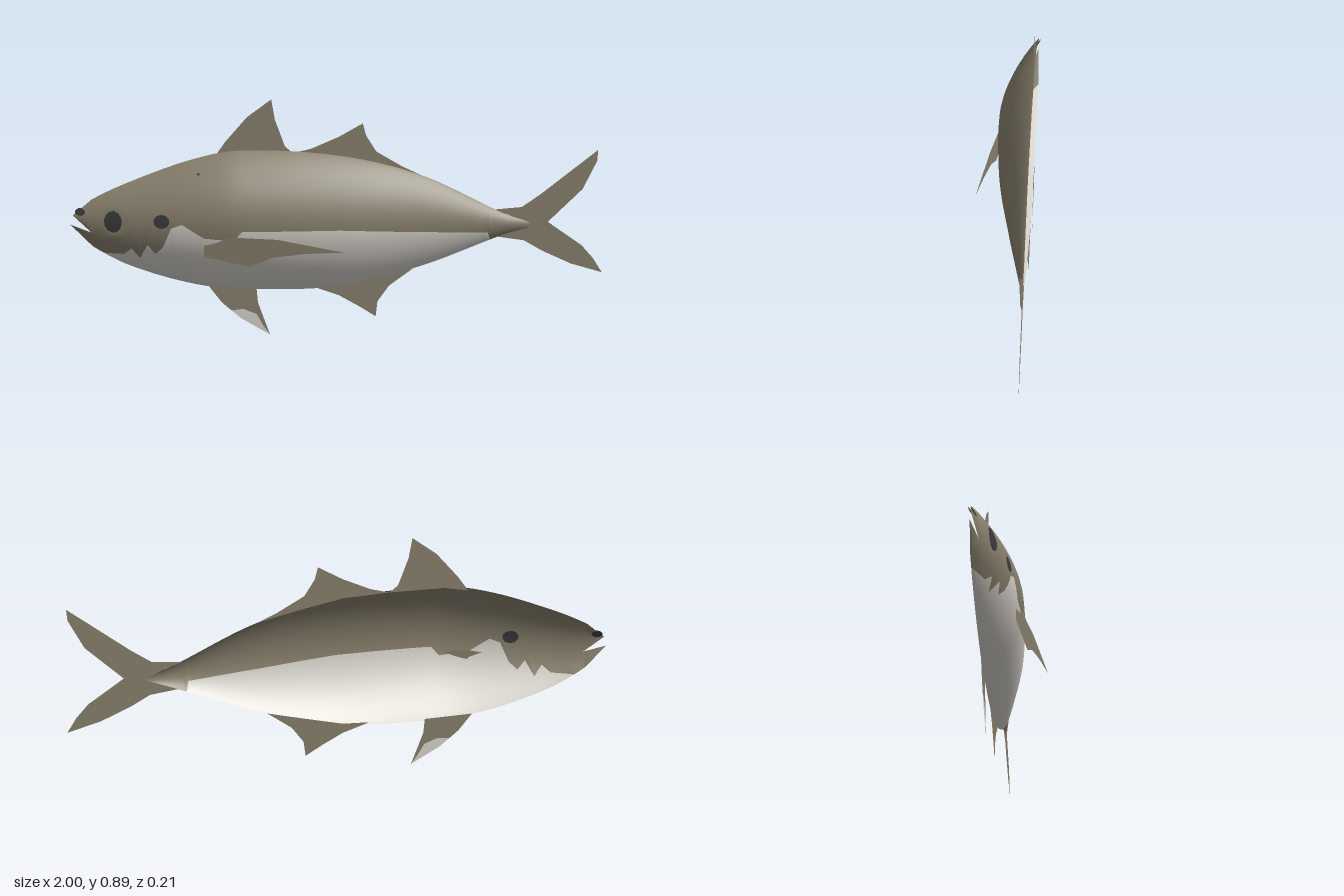
import * as THREE from 'three';

const BACK = -0.102; // open rear plane of the half body
const mat = (name, color) => {
  const m = new THREE.MeshStandardMaterial({ color, side: THREE.DoubleSide });
  m.name = name;
  return m;
};

// Stations along the body: x, top y, bottom y, foremost z
const STATIONS = [
  [-0.99, 0.475, 0.41, -0.094], [-0.92, 0.525, 0.35, -0.072], [-0.78, 0.59, 0.275, -0.03],
  [-0.55, 0.672, 0.205, 0.018], [-0.37, 0.705, 0.183, 0.035], [0, 0.685, 0.19, 0.014],
  [0.31, 0.61, 0.265, -0.032], [0.62, 0.465, 0.382, -0.085], [0.72, 0.43, 0.41, -0.101],
];
// Lower edge of the dark back colour: x, y
const EDGE = [
  [-0.92, 0.3], [-0.87, 0.325], [-0.8, 0.325], [-0.77, 0.35], [-0.74, 0.31], [-0.71, 0.365],
  [-0.68, 0.33], [-0.65, 0.36], [-0.62, 0.43], [-0.58, 0.445], [-0.54, 0.42], [-0.5, 0.395],
  [-0.39, 0.385], [-0.36, 0.42], [0, 0.42], [0.3, 0.405], [0.56, 0.395], [0.57, 0.3], [0.72, 0.3],
];

// Smooth (or straight) reading of one table column at x
function read(table, x, col, smooth) {
  const n = table.length;
  let i = 0;
  while (i < n - 2 && x > table[i + 1][0]) i++;
  const a = table[i], b = table[i + 1], h = b[0] - a[0];
  const t = THREE.MathUtils.clamp((x - a[0]) / h, 0, 1);
  if (!smooth) return a[col] + (b[col] - a[col]) * t;
  const slope = (k) => {
    const p = table[Math.max(k - 1, 0)], q = table[Math.min(k + 1, n - 1)];
    return (q[col] - p[col]) / (q[0] - p[0]);
  };
  const t2 = t * t, t3 = t2 * t;
  return (2 * t3 - 3 * t2 + 1) * a[col] + (t3 - 2 * t2 + t) * h * slope(i)
    + (3 * t2 - 2 * t3) * b[col] + (t3 - t2) * h * slope(i + 1);
}
const topAt = (x) => read(STATIONS, x, 1, true);
const bottomAt = (x) => read(STATIONS, x, 2, true);

// Depth of the flank at x, y
function flankZ(x, y) {
  const top = topAt(x);
  const u = THREE.MathUtils.clamp((top - y) / (top - bottomAt(x)), 0, 1);
  return BACK + (read(STATIONS, x, 3, true) - BACK) * Math.pow(4 * u * (1 - u), 0.9);
}

// Surface over a grid of points; rows from splitRow on use the second material
function grid(cols, rows, splitRow, point) {
  const pos = [], upper = [], lower = [];
  for (let i = 0; i <= cols; i++) for (let j = 0; j <= rows; j++) pos.push(...point(i / cols, j));
  for (let i = 0; i < cols; i++) {
    for (let j = 0; j < rows; j++) {
      const a = i * (rows + 1) + j, b = a + rows + 1;
      (j < splitRow ? upper : lower).push(a, a + 1, b, b, a + 1, b + 1);
    }
  }
  const g = new THREE.BufferGeometry();
  g.setAttribute('position', new THREE.Float32BufferAttribute(pos, 3));
  g.setIndex([...upper, ...lower]);
  g.addGroup(0, upper.length, 0);
  g.addGroup(upper.length, lower.length, 1);
  g.computeVertexNormals();
  return g;
}

// Thin round patch that hugs the flank
function patch(cx, cy, rx, ry, sides, lift) {
  const g = new THREE.CircleGeometry(1, sides, Math.PI / 8);
  const p = g.attributes.position;
  for (let i = 0; i < p.count; i++) {
    const x = cx + p.getX(i) * rx, y = cy + p.getY(i) * ry;
    p.setXYZ(i, x, y, flankZ(x, y) + lift);
  }
  g.computeVertexNormals();
  return g;
}

// Flat outline, by default in the rear plane
function fin(points, z = BACK) {
  const g = new THREE.ShapeGeometry(new THREE.Shape(points.map(([x, y]) => new THREE.Vector2(x, y))));
  return g.translate(0, 0, z);
}

export function createModel() {
  const model = new THREE.Group();
  const olive = mat('olive back', 0x877f6c);
  const silver = mat('silver belly', 0xd6d2cb);
  const dark = mat('dark spots', 0x3b3a3a);
  const add = (name, geometry, material) => {
    const m = new THREE.Mesh(geometry, material);
    m.name = name;
    model.add(m);
  };

  // Half body, split along the colour edge
  const N = 14;
  add('body', grid(164, 2 * N, N, (s, j) => {
    const x = -0.92 + 1.64 * s, top = topAt(x), bottom = bottomAt(x);
    const edge = THREE.MathUtils.clamp(read(EDGE, x, 1, false), bottom, top);
    // rows crowd towards the top and bottom rims
    const k = j <= N ? 1 - Math.cos((j / N) * Math.PI / 2) : Math.sin((j / N - 1) * Math.PI / 2);
    const y = j <= N ? top + (edge - top) * k : edge + (bottom - edge) * k;
    return [x, y, flankZ(x, y)];
  }), [olive, silver]);

  // Snout and lower jaw taper to tips, leaving the mouth open between them
  const taper = (y0, y1, tip) => grid(6, 12, 12, (s, j) => {
    const y = y0 + (y1 - y0) * (j / 12), from = [-0.92, y, flankZ(-0.92, y)];
    return tip.map((v, k) => v + (from[k] - v) * s);
  });
  add('snout', taper(topAt(-0.92), 0.405, [-0.99, 0.467, -0.096]), [olive, olive]);
  add('lowerJaw', taper(0.405, bottomAt(-0.92), [-1, 0.432, -0.098]), [olive, olive]);

  // Eye, cheek spot and nostril
  add('eye', patch(-0.83, 0.447, 0.053, 0.053, 8, 0.005), olive);
  add('pupil', patch(-0.836, 0.45, 0.034, 0.04, 12, 0.009), dark);
  for (const lift of [0.004, -0.004]) {
    add('cheekSpot', patch(-0.655, 0.455, 0.03, 0.026, 10, lift), dark);
    add('nostril', patch(-0.962, 0.48, 0.02, 0.014, 8, lift), dark);
  }
  add('backSpeck', patch(-0.52, 0.625, 0.006, 0.005, 6, 0.003), dark);

  // Upright fins
  add('frontDorsalFin', fin([[-0.46, 0.685], [-0.42, 0.74], [-0.34, 0.83], [-0.25, 0.895], [-0.237, 0.82],
    [-0.2, 0.72], [-0.17, 0.695], [-0.37, 0.7]]), olive);
  add('rearDorsalFin', fin([[-0.17, 0.695], [-0.1, 0.712], [0, 0.755], [0.09, 0.805], [0.102, 0.76],
    [0.14, 0.7], [0.24, 0.642], [0.31, 0.61], [0.15, 0.65], [0, 0.683]]), olive);
  add('analFin', fin([[-0.1, 0.19], [0, 0.155], [0.08, 0.11], [0.14, 0.072], [0.147, 0.13],
    [0.19, 0.19], [0.28, 0.255], [0.15, 0.225], [0, 0.192]]), olive);
  add('tailFin', fin([[0.58, 0.478], [0.69, 0.487], [0.76, 0.535], [0.975, 0.702], [0.972, 0.66], [0.92, 0.555],
    [0.79, 0.43], [0.92, 0.34], [0.965, 0.29], [1, 0.235], [0.88, 0.27], [0.77, 0.32], [0.7, 0.36],
    [0.6, 0.375], [0.72, 0.42], [0.64, 0.458]]), olive);

  // Pelvic fin with a pale leading tip
  add('pelvicFin', fin([[-0.49, 0.195], [-0.44, 0.13], [-0.405, 0.1], [-0.36, 0.105], [-0.31, 0.085], [-0.285, 0.04],
    [-0.26, 0.005], [-0.28, 0.06], [-0.305, 0.13], [-0.31, 0.187]]), olive);
  add('pelvicFinTip', fin([[-0.405, 0.1], [-0.37, 0.07], [-0.26, 0.005], [-0.285, 0.04], [-0.31, 0.085],
    [-0.36, 0.105]]), silver);

  // Pectoral fin swings out from the flank towards its tip
  const pectoral = fin([[-0.55, 0.395], [-0.5, 0.403], [-0.23, 0.395], [0.01, 0.353], [-0.13, 0.345], [-0.25, 0.328],
    [-0.33, 0.293], [-0.5, 0.325], [-0.5, 0.375]], 0);
  const p = pectoral.attributes.position;
  for (let i = 0; i < p.count; i++) p.setZ(i, 0.102 + 0.17 * (p.getX(i) - 0.01));
  pectoral.computeVertexNormals();
  add('pectoralFin', pectoral, olive);

  return model;
}
